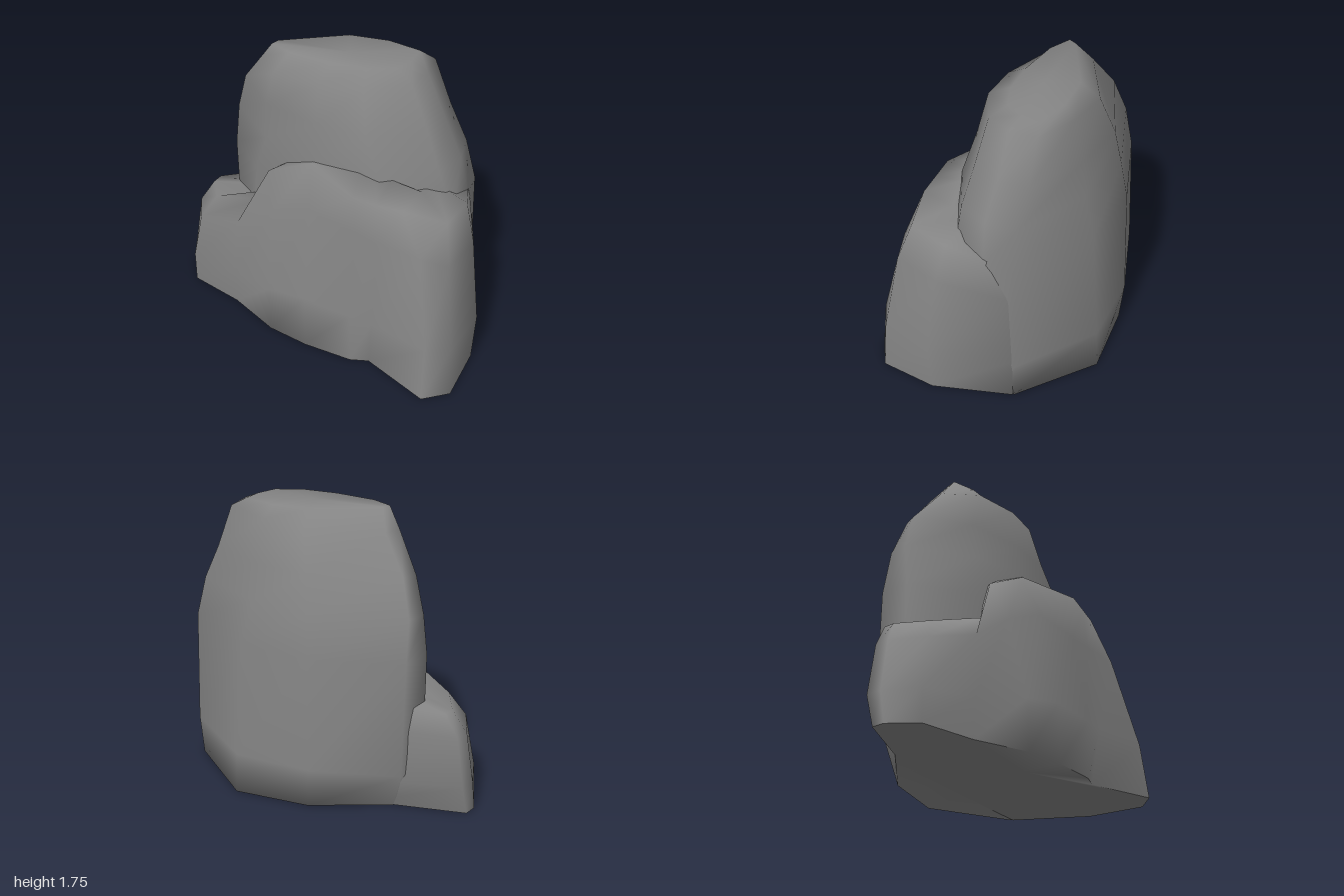
import * as THREE from 'three';

const material = new THREE.MeshStandardMaterial({ color: 0x858585 });

// Builds a skin through closed rings of [x, y, z] points, listed bottom to top, and closes both ends.
// The top is smooth; the base rim is sharp except at the soft points, where it rolls under.
function loft(name, rings, soft) {
  const n = rings[0].length;
  const centre = ring => [0, 1, 2].map(k => ring.reduce((s, p) => s + p[k], 0) / n);
  const last = rings.length - 1;
  const points = [...rings.flat(), ...rings[0], centre(rings[0]), centre(rings[last])];
  const lower = rings.length * n;
  const baseCentre = lower + n, topCentre = baseCentre + 1;
  const rim = i => (soft.includes(i) ? i : lower + i);
  const index = [];
  for (let i = 0; i < n; i++) {
    const next = (i + 1) % n;
    for (let j = 0; j < last; j++) {
      const a = j * n + i, b = j * n + next;
      index.push(a, b, b + n, a, b + n, a + n);
    }
    index.push(baseCentre, rim(next), rim(i));
    index.push(topCentre, last * n + i, last * n + next);
  }
  const geometry = new THREE.BufferGeometry();
  geometry.setAttribute('position', new THREE.Float32BufferAttribute(points.flat(), 3));
  geometry.setIndex(index);
  geometry.computeVertexNormals();
  const mesh = new THREE.Mesh(geometry, material);
  mesh.name = name;
  return mesh;
}

// Tall rear mass: rings of [x, z] from the left end round the front, right and back
function tallRock() {
  const levels = [0, 0.25, 0.95, 1.2, 1.42, 1.66, 1.74];
  const tilts = [0, 0, 0, 0, 0, 0.06, -0.02];
  const plans = [
    [[-.7, .1], [-.5, .25], [0, .3], [.5, .3], [.82, .08], [.72, -.18], [.69, -.34], [.18, -.56], [-.25, -.4], [-.62, -.06]],
    [[-.72, .08], [-.5, .25], [0, .32], [.5, .3], [.8, .05], [.74, -.18], [.7, -.36], [.18, -.55], [-.27, -.42], [-.72, -.12]],
    [[-.72, .09], [-.45, .26], [0, .32], [.5, .27], [.75, .03], [.74, -.17], [.69, -.35], [.17, -.5], [-.26, -.41], [-.72, -.1]],
    [[-.71, .06], [-.36, .27], [0, .33], [.4, .28], [.66, .05], [.69, -.15], [.63, -.33], [.15, -.42], [-.23, -.38], [-.7, -.06]],
    [[-.65, .06], [-.36, .26], [0, .29], [.3, .25], [.57, .03], [.58, -.15], [.52, -.32], [.14, -.39], [-.2, -.35], [-.62, -.02]],
    [[-.48, .12], [-.3, .27], [0, .27], [.25, .2], [.45, .02], [.46, -.14], [.42, -.3], [.14, -.33], [-.13, -.29], [-.46, .02]],
    [[-.39, .14], [-.25, .17], [0, .14], [.2, .08], [.34, -.02], [.36, -.14], [.34, -.26], [.14, -.26], [-.08, -.19], [-.38, .09]],
  ];
  const rings = plans.map((plan, j) => plan.map(([x, z]) => [x, levels[j] + tilts[j] * x, z]));
  return loft('tallRock', rings, [6, 7, 8]);
}

// Lower front ledge: its rim climbs from the left shoulder to the middle, then runs round the right side
function frontLedge() {
  const rim = [.63, .63, .65, .79, 1.03, 1.19, 1.15, 1.13, 1.12, 1.06, 1.04, .94, .7];
  const heights = [0, 0.3, 0.78, 1];
  const plans = [
    [[-1, .15], [-1, .23], [-.88, .38], [-.53, .42], [-.2, .52], [.06, .53], [.36, .5], [.46, .45], [.88, .56], [1, .43], [.95, .08], [.7, -.33], [-.45, -.15]],
    [[-1, .1], [-1, .2], [-.88, .38], [-.53, .43], [-.2, .52], [.06, .53], [.36, .51], [.5, .49], [.87, .52], [.98, .41], [.97, .08], [.7, -.345], [-.45, -.26]],
    [[-.95, .1], [-.95, .19], [-.82, .36], [-.5, .41], [-.24, .42], [.04, .43], [.35, .43], [.5, .43], [.76, .42], [.9, .34], [.9, .05], [.69, -.335], [-.45, -.25]],
    [[-.87, .08], [-.87, .15], [-.74, .29], [-.37, .33], [-.3, .34], [0, .34], [.35, .45], [.48, .42], [.62, .38], [.84, .27], [.83, .02], [.67, -.31], [-.45, -.2]],
  ];
  const rings = plans.map((plan, j) => plan.map(([x, z], i) => [x, rim[i] * heights[j], z]));
  // the ledge surface runs inward and upward into the tall mass
  rings.push(rings[3].map(([x, y, z]) => [x * 0.7 + 0.03, y + 0.06, z * 0.6]));
  return loft('frontLedge', rings, [4, 5, 7]);
}

export function createModel() {
  const rock = new THREE.Group();
  rock.name = 'rock';
  rock.add(tallRock(), frontLedge());
  return rock;
}
